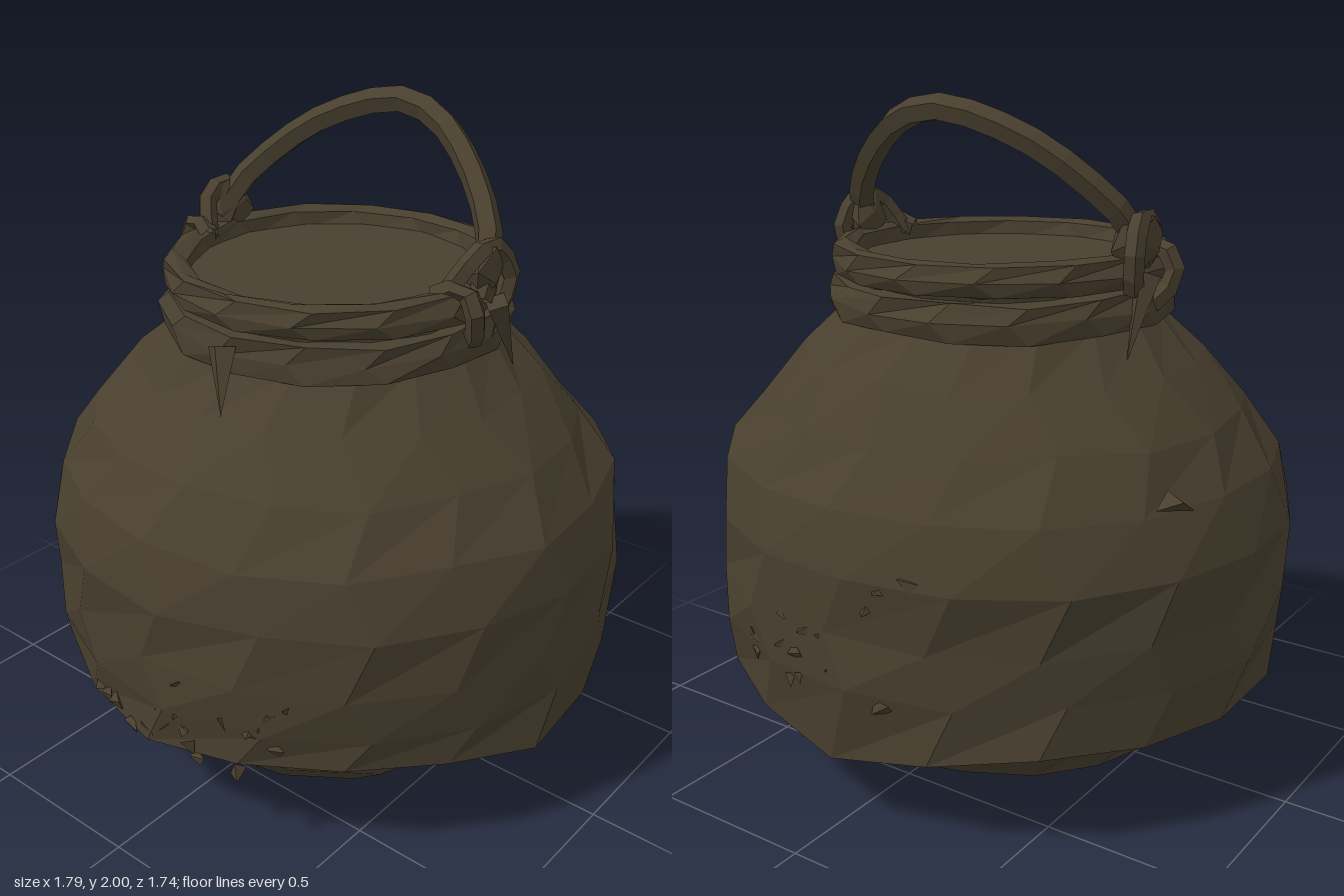
import * as THREE from 'three';

const cloth = new THREE.MeshStandardMaterial({ color: 0x483f2e, flatShading: true, side: THREE.DoubleSide });
cloth.name = 'dark brown clay';

// Seeded random in -1..1
let seed = 7;
const rnd = () => {
  seed = (seed * 16807) % 2147483647;
  return (seed / 2147483647) * 2 - 1;
};

// Hand-made looking ring surface from [y, radius] rows, listed bottom to top on the outside
function turned(rows, segs, wobble, shape = (p) => p) {
  const pos = [], index = [];
  rows.forEach(([y, r], i) => {
    for (let j = 0; j < segs; j++) {
      const a = ((j + (i % 2) * 0.25) / segs) * Math.PI * 2;
      const q = r + rnd() * wobble;
      const p = shape(new THREE.Vector3(Math.sin(a) * q, y + rnd() * wobble * 0.8, Math.cos(a) * q), i, a);
      pos.push(p.x, p.y, p.z);
      if (i < rows.length - 1) {
        const k = i * segs + j, n = i * segs + ((j + 1) % segs);
        index.push(k, n, n + segs, k, n + segs, k + segs);
      }
    }
  });
  const g = new THREE.BufferGeometry();
  g.setAttribute('position', new THREE.Float32BufferAttribute(pos, 3));
  g.setIndex(index);
  g.computeVertexNormals();
  return g;
}

// Faceted rope through a list of points
function rope(points, radius, steps, closed = false) {
  const curve = new THREE.CatmullRomCurve3(points.map((p) => new THREE.Vector3(...p)), closed);
  return new THREE.TubeGeometry(curve, steps, radius, 5, closed);
}

export function createModel() {
  seed = 7;
  const group = new THREE.Group();
  const add = (name, geometry, parent = group) => {
    const mesh = new THREE.Mesh(geometry, cloth);
    mesh.name = name;
    parent.add(mesh);
    return mesh;
  };

  // Rounded pot underneath, closed at the bottom
  add('potBase', turned(
    [[0.01, 0.001], [0.015, 0.33], [0.06, 0.54], [0.18, 0.66], [0.33, 0.75], [0.5, 0.82], [0.7, 0.84]],
    16, 0.018, (p, i) => { if (i < 2) p.y = 0.003 + i * 0.012; return p; }));

  // Outer shell with an uneven hanging hem, front round to the left and back
  const hem = [0.31, 0.34, 0.35, 0.33, 0.28, 0.30, 0.29, 0.29, 0.27, 0.22, 0.27, 0.31, 0.30, 0.29, 0.31, 0.33, 0.34, 0.32];
  add('outerShell', turned(
    [[0.3, 0.875], [0.45, 0.885], [0.6, 0.89], [0.78, 0.893], [0.95, 0.85], [1.1, 0.745], [1.24, 0.61], [1.37, 0.49], [1.42, 0.475]],
    18, 0.013, (p, i, a) => {
      if (i === 0) p.y = hem[Math.round((a / (Math.PI * 2)) * 18) % 18];
      p.z *= 0.97;
      return p;
    }));

  // Neck, lower collar and rim
  add('neck', turned([[1.38, 0.475], [1.46, 0.46], [1.5, 0.47]], 16, 0.008));
  add('collar', turned([[1.36, 0.46], [1.36, 0.515], [1.41, 0.525], [1.46, 0.505], [1.465, 0.45]], 15, 0.012));
  add('rim', turned(
    [[1.47, 0.45], [1.475, 0.5], [1.515, 0.515], [1.56, 0.5], [1.57, 0.475], [1.555, 0.44], [1.5, 0.43]], 14, 0.006));
  const lid = add('lid', new THREE.CircleGeometry(0.45, 16));
  lid.rotation.x = -Math.PI / 2;
  lid.position.y = 1.515;

  // Tilted carrying handle
  const handle = rope([[-0.48, 1.54, 0.0], [-0.47, 1.65, -0.07], [-0.4, 1.75, -0.14], [-0.24, 1.88, -0.23],
    [0, 1.96, -0.29], [0.14, 1.935, -0.28], [0.29, 1.85, -0.22], [0.43, 1.72, -0.13], [0.49, 1.63, -0.06], [0.5, 1.53, 0]], 0.04, 16);
  add('handle', handle);

  // Knots and loose ends where the handle is tied on
  for (const s of [-1, 1]) {
    const knot = new THREE.Group();
    knot.name = s < 0 ? 'rightKnot' : 'leftKnot';
    group.add(knot);
    const lump = add('knotLump', new THREE.IcosahedronGeometry(0.09, 0), knot);
    lump.scale.set(0.6, 1.1, 1);
    lump.position.set(s * 0.485, 1.6, -0.05);
    lump.rotation.set(0.4, 0.3 * s, -0.25 * s);
    add('knotWrap', rope([[s * 0.42, 1.55, 0.1], [s * 0.5, 1.58, 0.07], [s * 0.545, 1.5, 0.07], [s * 0.51, 1.43, 0.03],
      [s * 0.47, 1.4, -0.02]], 0.03, 6), knot);
    add('knotLoop', rope([[s * 0.44, 1.54, 0.08], [s * 0.49, 1.64, 0.03], [s * 0.5, 1.67, -0.06], [s * 0.52, 1.56, -0.13],
      [s * 0.5, 1.47, -0.09]], 0.03, 8), knot);
    const tail = add('knotTail', new THREE.ConeGeometry(0.04, 0.25, 4), knot);
    tail.position.set(s * 0.525, 1.4, -0.11);
    tail.rotation.x = Math.PI + 0.45;
  }

  // Leaf-shaped tie end at the front of the collar
  const tie = add('frontTie', new THREE.ConeGeometry(0.05, 0.19, 4));
  tie.position.set(0.04, 1.34, 0.54);
  tie.rotation.set(Math.PI - 0.35, 0, -0.25);
  tie.scale.z = 0.6;

  // Small torn flakes lying on the shell: [angle, height, spread, count]
  const flakes = new THREE.Group();
  flakes.name = 'tornFlakes';
  group.add(flakes);
  for (const [angle, height, spread, count] of [[0.1, 0.42, 0.4, 16], [0.3, 0.5, 0.25, 8], [3.1, 0.5, 0.35, 14], [3.4, 0.7, 0.2, 4]]) {
    for (let i = 0; i < count; i++) {
      const a = angle + rnd() * spread, y = height + rnd() * 0.11;
      const flake = add('flake', new THREE.TetrahedronGeometry(0.03 + 0.01 * rnd()), flakes);
      flake.position.set(Math.sin(a) * 0.875, y, Math.cos(a) * 0.85);
      flake.scale.set(1.2, 0.8, 0.5);
      flake.rotation.set(rnd(), a, rnd() * 3);
    }
  }

  // Raised tatter on the right shoulder
  const tatter = add('shoulderTatter', new THREE.TetrahedronGeometry(0.07));
  tatter.position.set(-0.78, 0.98, -0.34);
  tatter.scale.set(1, 0.5, 0.8);

  return group;
}
